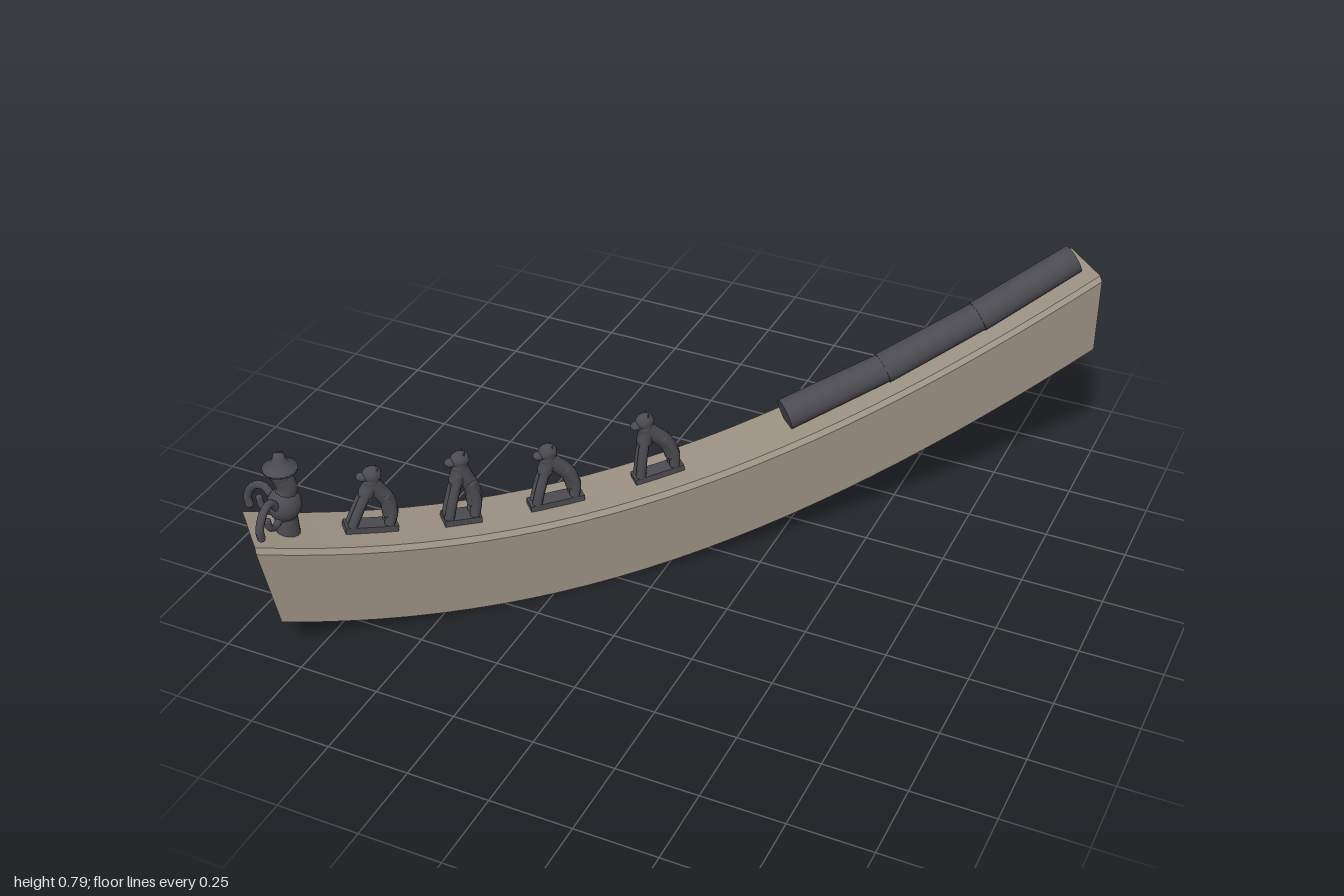
import * as THREE from 'three';

const stone = new THREE.MeshStandardMaterial({ color: 0x9a9082 });
stone.name = 'stone';
const tileGrey = new THREE.MeshStandardMaterial({ color: 0x4a4a50 });
tileGrey.name = 'dark glazed tile';

const D = Math.SQRT2; // the ridge runs along a diagonal; u is its x coordinate
const rise = (u) => {
  const d = u + 0.32;
  return d > 0 ? d * d * (0.37 - 0.05 * d) : 0.36 * d * d;
};
const TOP = 0.255;
const slopeAt = (u) => Math.atan((rise(u + 0.01) - rise(u - 0.01)) / (0.02 * D));

function add(parent, name, geometry, material, x = 0, y = 0, z = 0) {
  const mesh = new THREE.Mesh(geometry, material);
  mesh.name = name;
  mesh.position.set(x, y, z);
  parent.add(mesh);
  return mesh;
}

function ball(parent, name, r, x, y, z, sx = 1, sy = 1, sz = 1) {
  const m = add(parent, name, new THREE.SphereGeometry(r, 16, 12), tileGrey, x, y, z);
  m.scale.set(sx, sy, sz);
  return m;
}

// Round limb along a smooth path, with rounded ends
function limb(parent, name, points, r) {
  const path = points.map((p) => new THREE.Vector3(...p));
  const curve = new THREE.CatmullRomCurve3(path);
  add(parent, name, new THREE.TubeGeometry(curve, 16, r, 10), tileGrey);
  for (const p of [path[0], path[path.length - 1]]) ball(parent, name + 'End', r, p.x, p.y, p.z);
}

// Curved beam with chamfered top edges, lofted from cross-sections
function beamGeometry() {
  const N = 28, w = 0.105, c = 0.014, rings = [], pos = [];
  for (let i = 0; i <= N; i++) {
    const t = i / N;
    const ub = THREE.MathUtils.lerp(-0.895, 0.925, t);
    const ut = THREE.MathUtils.lerp(-0.927, 0.925, t);
    const b = rise(ub), top = TOP + rise(ut);
    rings.push([
      [ub * D, b, -w], [ut * D, top - c, -w], [ut * D, top, -w + c],
      [ut * D, top, w - c], [ut * D, top - c, w], [ub * D, b, w],
    ]);
  }
  const tri = (p, q, r) => pos.push(...p, ...q, ...r);
  for (let i = 0; i < N; i++) {
    const A = rings[i], B = rings[i + 1];
    for (let j = 0; j < 6; j++) {
      const k = (j + 1) % 6;
      tri(A[j], A[k], B[k]);
      tri(A[j], B[k], B[j]);
    }
  }
  const S = rings[0], E = rings[N];
  for (let j = 1; j < 5; j++) {
    tri(S[0], S[j + 1], S[j]);
    tri(E[0], E[j], E[j + 1]);
  }
  const g = new THREE.BufferGeometry();
  g.setAttribute('position', new THREE.Float32BufferAttribute(pos, 3));
  g.computeVertexNormals();
  return g;
}

// Seated beast on a plinth, facing the low end (-x)
function beast(name, u, L, h, w) {
  const g = new THREE.Group();
  g.name = name;
  g.position.set(u * D, TOP + rise(u) - 0.004, 0);
  g.rotation.z = slopeAt(u);
  add(g, 'plinth', new THREE.BoxGeometry(L, 0.024, w), tileGrey, 0, 0.012, 0);
  for (const s of [-1, 1]) {
    const z = s * w * 0.24;
    limb(g, 'frontLeg', [[-0.36 * L, 0.025, z], [-0.28 * L, 0.35 * h, z], [-0.14 * L, 0.68 * h, z * 0.7]], 0.015);
    limb(g, 'hindLeg', [[0.2 * L, 0.55 * h, z * 0.8], [0.36 * L, 0.3 * h, z], [0.34 * L, 0.03, z]], 0.016);
    const ear = add(g, 'ear', new THREE.ConeGeometry(0.009, 0.028, 8), tileGrey, -0.04 * L, h - 0.012, s * 0.013);
    ear.rotation.z = -0.2;
  }
  limb(g, 'back', [[-0.1 * L, 0.78 * h, 0], [0.06 * L, 0.64 * h, 0], [0.25 * L, 0.48 * h, 0], [0.34 * L, 0.28 * h, 0]], 0.024);
  limb(g, 'neck', [[-0.16 * L, 0.6 * h, 0], [-0.1 * L, 0.72 * h, 0], [-0.09 * L, 0.85 * h, 0]], 0.024);
  ball(g, 'head', 0.026, -0.1 * L, 0.88 * h, 0, 1.1, 1, 0.95);
  ball(g, 'snout', 0.016, -0.1 * L - 0.026, 0.85 * h, 0, 1.2, 0.85, 1);
  return g;
}

// Hatted figure on a post, with two curling plumes spread towards the low end
function leader() {
  const g = new THREE.Group();
  g.name = 'leadFigure';
  g.position.set(-0.85 * D, 0, 0);
  add(g, 'post', new THREE.CylinderGeometry(0.033, 0.036, 0.07, 16), tileGrey, 0, 0.375, 0);
  ball(g, 'body', 0.05, 0, 0.45, 0, 1, 1.05, 0.95);
  limb(g, 'chest', [[-0.005, 0.46, 0], [0.012, 0.505, 0], [0, 0.55, 0]], 0.031);
  ball(g, 'head', 0.032, 0, 0.555, 0);
  const hat = [[0, 0.566], [0.05, 0.568], [0.05, 0.577], [0.03, 0.588], [0.018, 0.604], [0.016, 0.618], [0, 0.624]];
  add(g, 'hat', new THREE.LatheGeometry(hat.map((p) => new THREE.Vector2(...p)), 20), tileGrey);
  for (const s of [-1, 1]) {
    const out = (r, y) => [-r / D, y, (s * r) / D];
    limb(g, 'plume', [out(0.03, 0.45), out(0.065, 0.493), out(0.1, 0.482), out(0.125, 0.44), out(0.122, 0.412)], 0.012);
    limb(g, 'lowerPlume', [out(0.025, 0.42), out(0.055, 0.405), out(0.08, 0.42), out(0.085, 0.445)], 0.01);
  }
  return g;
}

export function createModel() {
  const model = new THREE.Group();
  model.name = 'roofRidge';
  const ridge = new THREE.Group();
  ridge.name = 'ridge';
  ridge.rotation.y = Math.PI / 4;
  model.add(ridge);

  add(ridge, 'beam', beamGeometry(), stone);

  // Three overlapping round tiles up the high end
  const joints = [0.23, 0.455, 0.675, 0.89];
  for (let i = 0; i < 3; i++) {
    const [a, b] = [joints[i], joints[i + 1]].map((u) => new THREE.Vector3(u * D, TOP + rise(u) + 0.04, 0));
    const tile = add(ridge, 'roundTile', new THREE.CylinderGeometry(0.046, 0.049, a.distanceTo(b) + 0.012, 20), tileGrey);
    tile.position.copy(a).add(b).multiplyScalar(0.5);
    tile.quaternion.setFromUnitVectors(new THREE.Vector3(0, 1, 0), b.clone().sub(a).normalize());
  }

  ridge.add(
    leader(),
    beast('firstBeast', -0.685, 0.155, 0.215, 0.052),
    beast('secondBeast', -0.495, 0.11, 0.245, 0.062),
    beast('thirdBeast', -0.29, 0.165, 0.215, 0.052),
    beast('fourthBeast', -0.062, 0.155, 0.235, 0.05),
  );
  return model;
}
